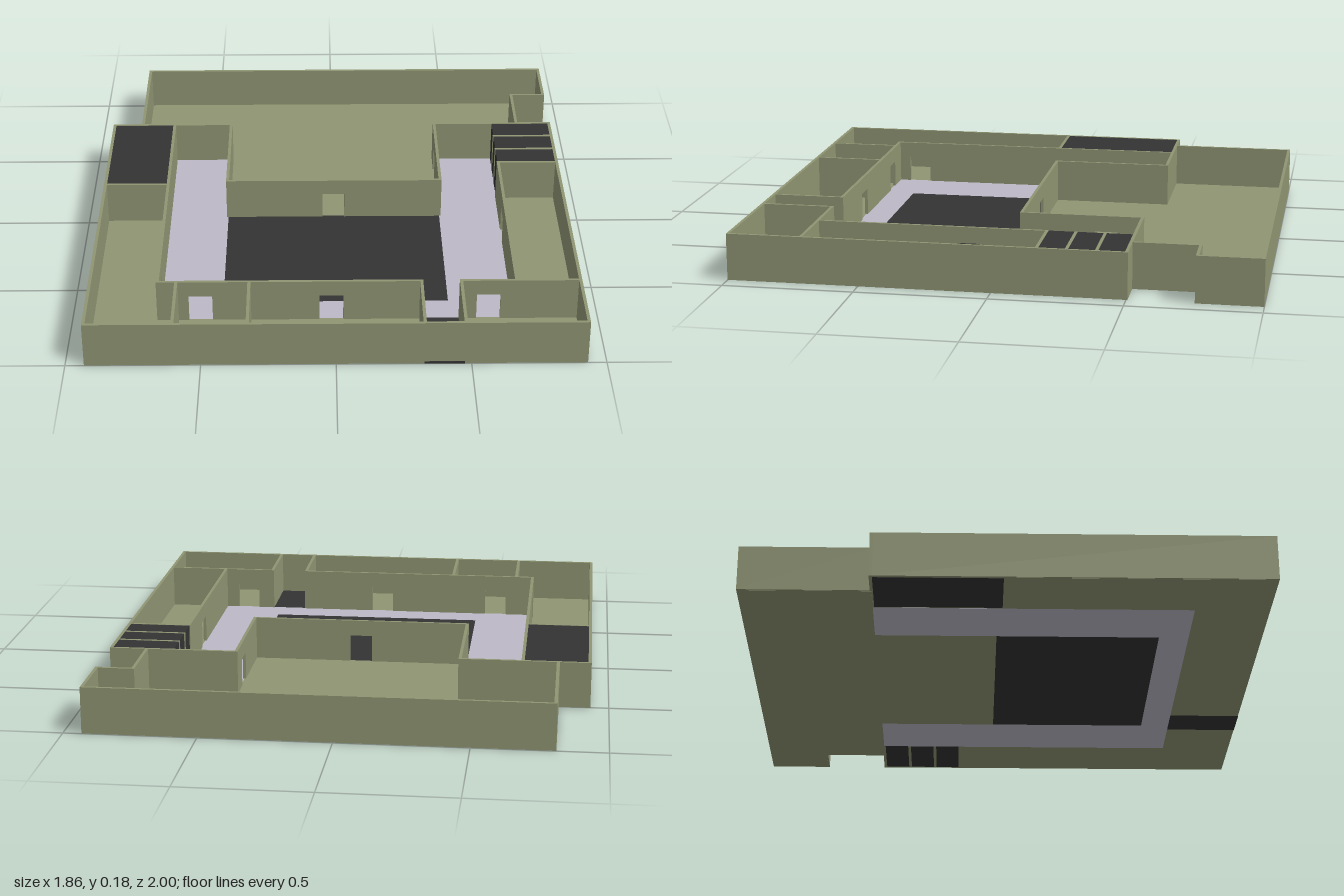
import * as THREE from 'three';

const H = 0.18, T = 0.012, FLOOR = 0.01, DOOR_W = 0.09, DOOR_H = 0.117;

const paint = (color) => new THREE.MeshStandardMaterial({ color });
const green = paint(0x8f9573), lavender = paint(0xbcb8c6), dark = paint(0x333333);

// Straight wall between two plan points; doors are distances along x or z
function wall(name, x1, z1, x2, z2, doors = []) {
  const alongX = z1 === z2;
  const a = (alongX ? Math.min(x1, x2) : Math.min(z1, z2)) - T / 2;
  const b = (alongX ? Math.max(x1, x2) : Math.max(z1, z2)) + T / 2;
  const shape = new THREE.Shape();
  shape.moveTo(a, 0.001);
  for (const d of doors) {
    shape.lineTo(d - DOOR_W / 2, 0.001);
    shape.lineTo(d - DOOR_W / 2, DOOR_H);
    shape.lineTo(d + DOOR_W / 2, DOOR_H);
    shape.lineTo(d + DOOR_W / 2, 0.001);
  }
  shape.lineTo(b, 0.001);
  shape.lineTo(b, H);
  shape.lineTo(a, H);
  const geo = new THREE.ExtrudeGeometry(shape, { depth: T, bevelEnabled: false });
  geo.translate(0, 0, -T / 2);
  if (!alongX) geo.rotateY(-Math.PI / 2);
  geo.translate(alongX ? 0 : x1, 0, alongX ? z1 : 0);
  const mesh = new THREE.Mesh(geo, green);
  mesh.name = name;
  return mesh;
}

// Flat slab from plan corners [x, z]
function slab(name, points, material) {
  const shape = new THREE.Shape(points.map(([x, z]) => new THREE.Vector2(x, -z)));
  const geo = new THREE.ExtrudeGeometry(shape, { depth: FLOOR, bevelEnabled: false });
  geo.rotateX(-Math.PI / 2);
  const mesh = new THREE.Mesh(geo, material);
  mesh.name = name;
  return mesh;
}

const rect = (x1, z1, x2, z2) => [[x1, z1], [x2, z1], [x2, z2], [x1, z2]];

// Solid block filling a closed room up to the wall tops
function block(name, x1, z1, x2, z2) {
  const h = H - 0.001;
  const mesh = new THREE.Mesh(new THREE.BoxGeometry(x2 - x1, h, z2 - z1), dark);
  mesh.position.set((x1 + x2) / 2, h / 2, (z1 + z2) / 2);
  mesh.name = name;
  return mesh;
}

export function createModel() {
  const model = new THREE.Group();
  model.name = 'courtyardBuilding';

  // Floors
  const floors = new THREE.Group();
  floors.name = 'floors';
  floors.add(
    slab('backHallFloor', [[-0.804, -0.994], [0.924, -0.994], [0.924, -0.756], [0.785, -0.756],
      [0.785, -0.5], [0.435, -0.5], [0.435, -0.03], [-0.43, -0.03], [-0.43, -0.5], [-0.804, -0.5]], green),
    slab('courtyardPath', [[-0.67, -0.5], [-0.43, -0.5], [-0.43, 0.6], [0.435, 0.6],
      [0.435, -0.5], [0.683, -0.5], [0.683, 0.715], [-0.67, 0.715]], lavender),
    slab('courtyardCentre', rect(-0.43, -0.03, 0.435, 0.6), dark),
    slab('rightRoomFloor', rect(0.683, -0.17, 0.924, 0.715), green),
    slab('leftRoomFloor', [[-0.924, -0.005], [-0.67, -0.005], [-0.67, 0.715], [0.325, 0.715],
      [0.325, 0.994], [-0.924, 0.994]], green),
    slab('frontRightRoomFloor', rect(0.475, 0.715, 0.924, 0.994), green),
    slab('entranceFloor', rect(0.325, 0.715, 0.475, 1.001), dark),
  );
  model.add(floors);

  // Outer and inner walls of the back hall
  const hall = new THREE.Group();
  hall.name = 'backHallWalls';
  hall.add(
    wall('hallBackWall', -0.804, -0.994, 0.924, -0.994),
    wall('hallLeftWall', -0.804, -0.994, -0.804, -0.5),
    wall('hallRightEnd', 0.924, -0.994, 0.924, -0.756),
    wall('hallNotchFront', 0.785, -0.756, 0.924, -0.756),
    wall('hallNotchSide', 0.785, -0.756, 0.785, -0.5),
    wall('wingBackWallRight', 0.435, -0.5, 0.924, -0.5),
    wall('wingBackWallLeft', -0.924, -0.5, -0.43, -0.5),
    wall('hallInnerRight', 0.435, -0.5, 0.435, -0.03, [-0.36]),
    wall('hallInnerLeft', -0.43, -0.5, -0.43, -0.03),
    wall('hallInnerFront', -0.43, -0.03, 0.435, -0.03, [0]),
  );
  model.add(hall);

  // Side wings and front range
  const wings = new THREE.Group();
  wings.name = 'wingWalls';
  wings.add(
    wall('outerLeftWall', -0.924, -0.5, -0.924, 0.994),
    wall('outerRightWall', 0.924, -0.5, 0.924, 0.994),
    wall('outerFrontWall', -0.924, 0.994, 0.924, 0.994),
    wall('innerLeftWall', -0.67, -0.5, -0.67, 0.715, [0.62]),
    wall('innerRightWall', 0.683, -0.17, 0.683, 0.715, [0.13]),
    wall('leftRoomDivider', -0.924, -0.005, -0.67, -0.005),
    wall('innerFrontWall', -0.67, 0.715, 0.325, 0.715, [-0.51, -0.015]),
    wall('innerFrontWallRight', 0.475, 0.715, 0.924, 0.715, [0.58]),
  );
  for (const x of [-0.6, -0.325, 0.325, 0.475]) wings.add(wall('frontDivider', x, 0.715, x, 0.994));
  model.add(wings);

  // Closed dark rooms: one on the left, three stalls on the right
  model.add(block('leftClosedRoom', -0.918, -0.494, -0.676, -0.011));
  const stallWalls = [-0.5, -0.39, -0.28, -0.17];
  stallWalls.forEach((z, i) => {
    if (i > 0) {
      model.add(wall('stallDivider', 0.683, z, 0.924, z));
      model.add(block('stall', 0.68, stallWalls[i - 1] + T / 2, 0.918, z - T / 2));
    }
  });
  return model;
}
